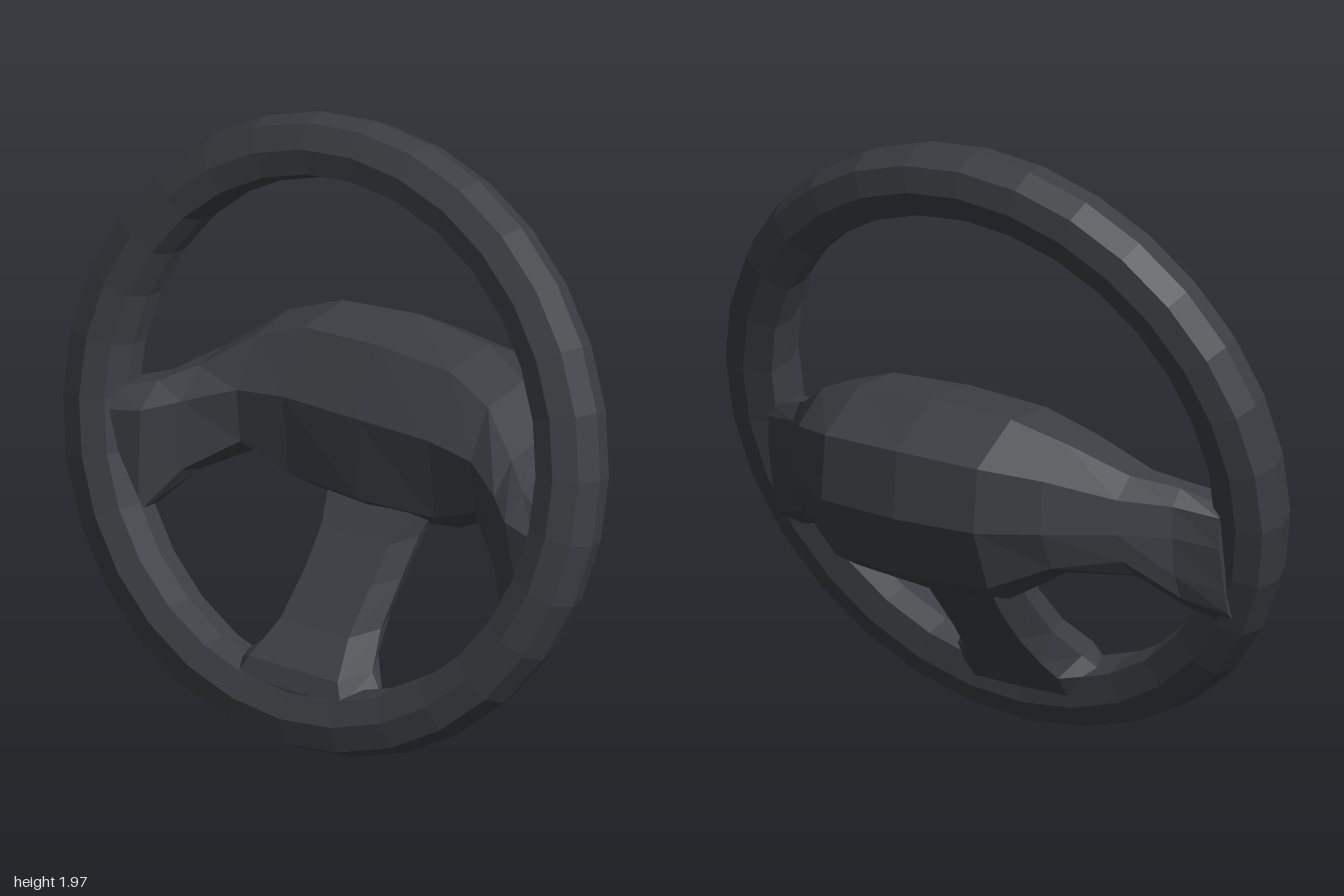
import * as THREE from 'three';

const material = new THREE.MeshStandardMaterial({ color: 0x3b3e43, flatShading: true });

// Skin a list of equal-length rings and close both ends; faces are turned outward.
function loft(rings) {
  const n = rings[0].length;
  const pos = rings.flat(2);
  const at = (i) => new THREE.Vector3().fromArray(pos, i * 3);
  let tris = [];
  for (let i = 0; i < rings.length - 1; i++) {
    for (let j = 0; j < n; j++) {
      const a = i * n + j, b = i * n + ((j + 1) % n);
      tris.push([a, b, a + n], [b, b + n, a + n]);
    }
  }
  const last = (rings.length - 1) * n;
  for (let j = 1; j < n - 1; j++) {
    tris.push([0, j + 1, j], [last, last + j, last + j + 1]);
  }
  const volume = tris.reduce((v, [a, b, c]) => v + at(a).dot(at(b).cross(at(c))), 0);
  if (volume < 0) tris = tris.map(([a, b, c]) => [a, c, b]);
  const g = new THREE.BufferGeometry();
  g.setAttribute('position', new THREE.Float32BufferAttribute(pos, 3));
  g.setIndex(tris.flat());
  g.computeVertexNormals();
  return g;
}

function part(name, geometry) {
  const mesh = new THREE.Mesh(geometry, material);
  mesh.name = name;
  return mesh;
}

// Faceted ring, tilted back at the top
function createRim() {
  const profile = [
    [1.005, 0], [0.98, 0.08], [0.9, 0.107], [0.82, 0.085], [0.8, 0],
    [0.81, -0.085], [0.9, -0.107], [0.98, -0.08], [1.005, 0],
  ].map(([r, a]) => new THREE.Vector2(r, a));
  // outer edge first runs upward, so the faces point outward
  const g = new THREE.LatheGeometry(profile, 30);
  g.rotateX(Math.PI / 2 - 0.203);
  g.translate(0, 0.985, 0.18);
  return part('rim', g);
}

// Domed hub running out into both side arms: half sections of [z, y], mirrored in x
function createHub() {
  const half = [
    [0, [[-0.03, 1.21], [-0.25, 1.235], [-0.445, 1.12], [-0.465, 0.905], [-0.38, 0.69],
      [-0.26, 0.615], [-0.1, 0.6], [0.06, 0.72], [0.08, 1.0]]],
    [0.28, [[-0.03, 1.195], [-0.23, 1.215], [-0.42, 1.11], [-0.44, 0.905], [-0.36, 0.7],
      [-0.24, 0.63], [-0.08, 0.65], [0.05, 0.73], [0.08, 1.0]]],
    [0.45, [[0, 1.13], [-0.18, 1.155], [-0.31, 1.07], [-0.325, 0.9], [-0.26, 0.77],
      [-0.17, 0.73], [-0.05, 0.74], [0.07, 0.8], [0.09, 0.98]]],
    [0.6, [[0.08, 1.02], [-0.05, 1.04], [-0.12, 0.98], [-0.13, 0.87], [-0.09, 0.77],
      [-0.03, 0.71], [0.08, 0.67], [0.17, 0.7], [0.17, 0.93]]],
    [0.7, [[0.16, 0.97], [0.08, 0.98], [0.04, 0.93], [0.03, 0.83], [0.05, 0.7],
      [0.08, 0.62], [0.15, 0.56], [0.26, 0.56], [0.25, 0.9]]],
    [0.83, [[0.22, 0.935], [0.12, 0.935], [0.1, 0.9], [0.1, 0.8], [0.13, 0.65],
      [0.15, 0.57], [0.21, 0.51], [0.31, 0.52], [0.275, 0.88]]],
  ];
  const mirrored = half.slice(1).reverse().map(([x, s]) => [-x, s]);
  return part('hubAndSideArms', loft([...mirrored, ...half].map(
    ([x, s]) => s.map(([z, y]) => [x, y, z]))));
}

// Lower spoke, slanting from the hub forward to the rim
function createLowerSpoke() {
  // y, front z, back z, front half width, middle half width, back half width
  const sections = [
    [0.72, 0.0, -0.22, 0.16, 0.2, 0.16],
    [0.61, 0.08, -0.13, 0.13, 0.165, 0.13],
    [0.5, 0.17, -0.05, 0.125, 0.162, 0.12],
    [0.37, 0.29, 0.06, 0.13, 0.168, 0.12],
    [0.27, 0.4, 0.15, 0.17, 0.21, 0.14],
    [0.21, 0.425, 0.2, 0.2, 0.28, 0.17],
    [0.13, 0.43, 0.26, 0.2, 0.28, 0.17],
  ];
  return part('lowerSpoke', loft(sections.map(([y, f, b, wf, wm, wb]) => {
    const m = (f + b) / 2;
    return [[-wf, y, f], [wf, y, f], [wm, y, m], [wb, y, b], [-wb, y, b], [-wm, y, m]];
  })));
}

export function createModel() {
  const group = new THREE.Group();
  group.name = 'steeringWheel';
  group.add(createRim(), createHub(), createLowerSpoke());
  return group;
}
